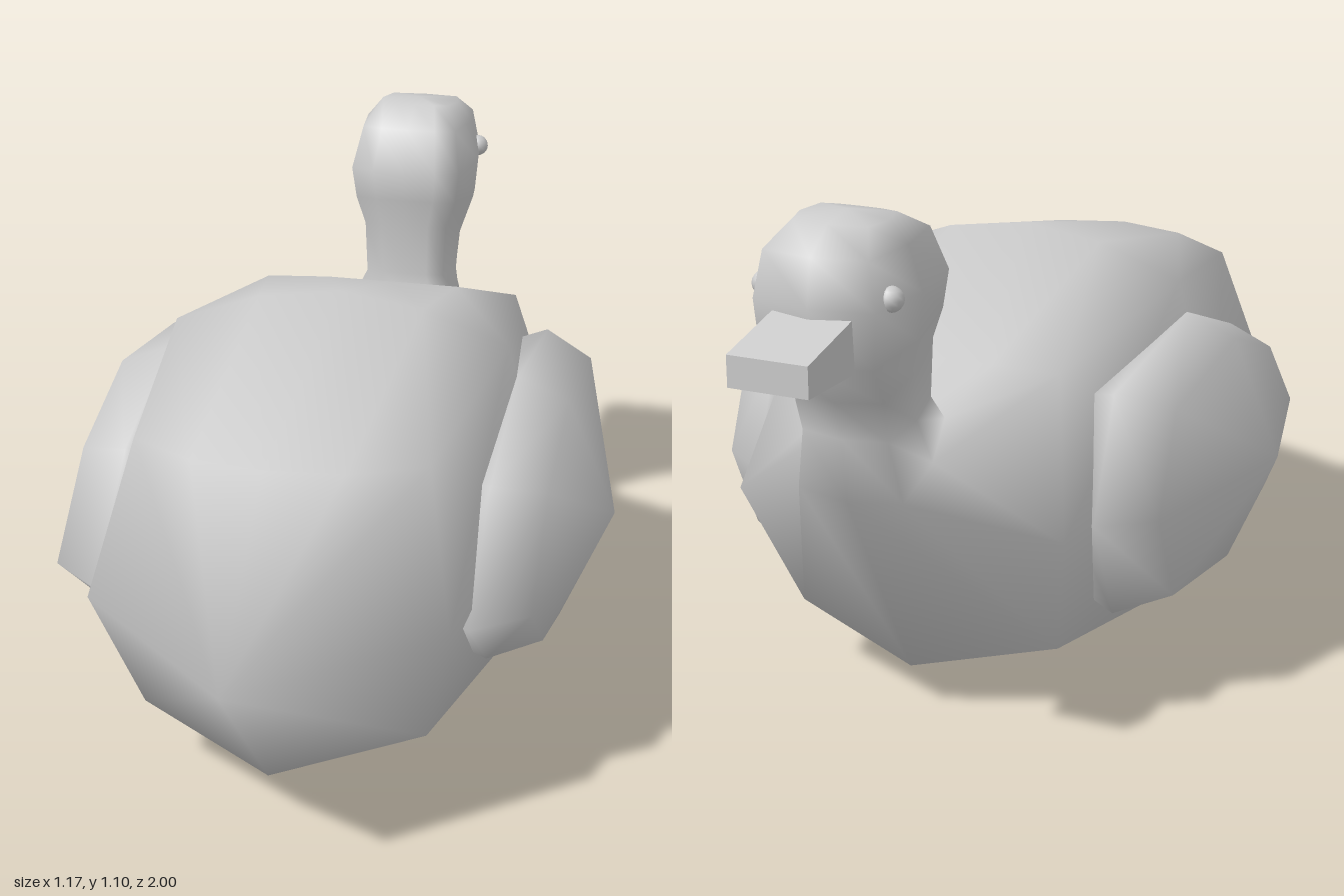
import * as THREE from 'three';

const grey = new THREE.MeshStandardMaterial({ color: 0xcccccc });

// Skin closed rings of points, capped by a start and an end point.
function loft(start, rings, end, flip = false) {
  const n = rings[0].length, index = [];
  const points = [...rings.flat(), start, end];
  const first = points.length - 2, last = points.length - 1;
  const tri = (a, b, c) => (flip ? index.push(a, c, b) : index.push(a, b, c));
  for (let i = 0; i < n; i++) {
    const k = (i + 1) % n;
    tri(first, k, i);
    for (let j = 0; j < rings.length - 1; j++) {
      const a = j * n + i, b = j * n + k;
      tri(a, b, a + n);
      tri(b, b + n, a + n);
    }
    const base = (rings.length - 1) * n;
    tri(base + i, base + k, last);
  }
  const geometry = new THREE.BufferGeometry();
  geometry.setAttribute('position', new THREE.Float32BufferAttribute(points.flat(), 3));
  geometry.setIndex(index);
  geometry.computeVertexNormals();
  return geometry;
}

// Complete a half ring (top to bottom on +x) with its mirror image.
const mirrorRing = (half) =>
  [...half, ...half.slice(1, -1).reverse().map(([x, y, z]) => [-x, y, z])];

// Rounded-square neck ring, running from its back to its front.
function neckRing(yBack, yFront, zBack, zFront, w) {
  const at = (x, t) => [x * w, yBack + (yFront - yBack) * t, zBack + (zFront - zBack) * t];
  return mirrorRing([at(0, 0), at(0.5, 0.01), at(0.87, 0.06), at(1, 0.5), at(0.85, 0.93), at(0, 1)]);
}

function add(group, name, geometry) {
  const mesh = new THREE.Mesh(geometry, grey);
  mesh.name = name;
  group.add(mesh);
  return mesh;
}

export function createModel() {
  const model = new THREE.Group();
  model.name = 'duck';

  // Body, neck and head in one skin, from the tail tip to the crown
  const rings = [
    [[0, 0.755, 0.69], [0.15, 0.75, 0.66], [0.29, 0.74, 0.57], [0.355, 0.45, 0.69], [0.29, 0.16, 0.57], [0, 0.1, 0.69]],
    [[0, 0.895, 0.09], [0.175, 0.87, 0.09], [0.355, 0.805, 0.09], [0.45, 0.45, 0.09], [0.355, 0.1, 0.09], [0, 0.005, 0.09]],
    [[0, 0.745, -0.41], [0.15, 0.745, -0.41], [0.29, 0.74, -0.4], [0.355, 0.45, -0.53], [0.29, 0.16, -0.4], [0, 0.1, -0.48]],
  ].map(mirrorRing);
  rings.push(
    neckRing(0.68, 0.55, -0.53, -0.73, 0.13),
    neckRing(0.72, 0.68, -0.545, -0.745, 0.105),
    neckRing(0.84, 0.76, -0.54, -0.77, 0.11),
    neckRing(0.9, 0.85, -0.535, -0.85, 0.135),
    neckRing(0.97, 0.96, -0.525, -0.857, 0.145),
    neckRing(1.06, 1.05, -0.57, -0.842, 0.125),
    neckRing(1.1, 1.095, -0.65, -0.775, 0.09),
  );
  add(model, 'body', loft([0, 0.45, 1], rings, [0, 1.107, -0.7]));

  // Wings: domed leaf outline [z, y] running from the top toward the front
  const outline = [[0.09, 0.74], [-0.33, 0.69], [-0.43, 0.45], [-0.32, 0.22],
    [0.09, 0.16], [0.39, 0.245], [0.6, 0.42], [0.39, 0.63]];
  for (const side of [1, -1]) {
    const ring = (x, s) => outline.map(([z, y]) => [side * x, 0.45 + (y - 0.45) * s, 0.08 + (z - 0.08) * s]);
    add(model, side > 0 ? 'leftWing' : 'rightWing', loft([side * 0.587, 0.45, 0.08],
      [ring(0.482, 0.85), ring(0.375, 1), ring(0.31, 0.93)], [side * 0.28, 0.45, 0.08], side < 0));

    // Eyes
    const eye = add(model, side > 0 ? 'leftEye' : 'rightEye', new THREE.SphereGeometry(0.024, 12, 8));
    eye.position.set(side * 0.128, 0.975, -0.782);
  }

  // Beak: box tapering in height toward its tip
  const beak = new THREE.BoxGeometry(0.16, 0.105, 0.18);
  const p = beak.attributes.position;
  for (let i = 0; i < p.count; i++) {
    if (p.getZ(i) < 0) p.setY(i, p.getY(i) > 0 ? 0.0125 : -0.0475);
  }
  beak.computeVertexNormals();
  add(model, 'beak', beak).position.set(0, 0.8975, -0.91);

  return model;
}
